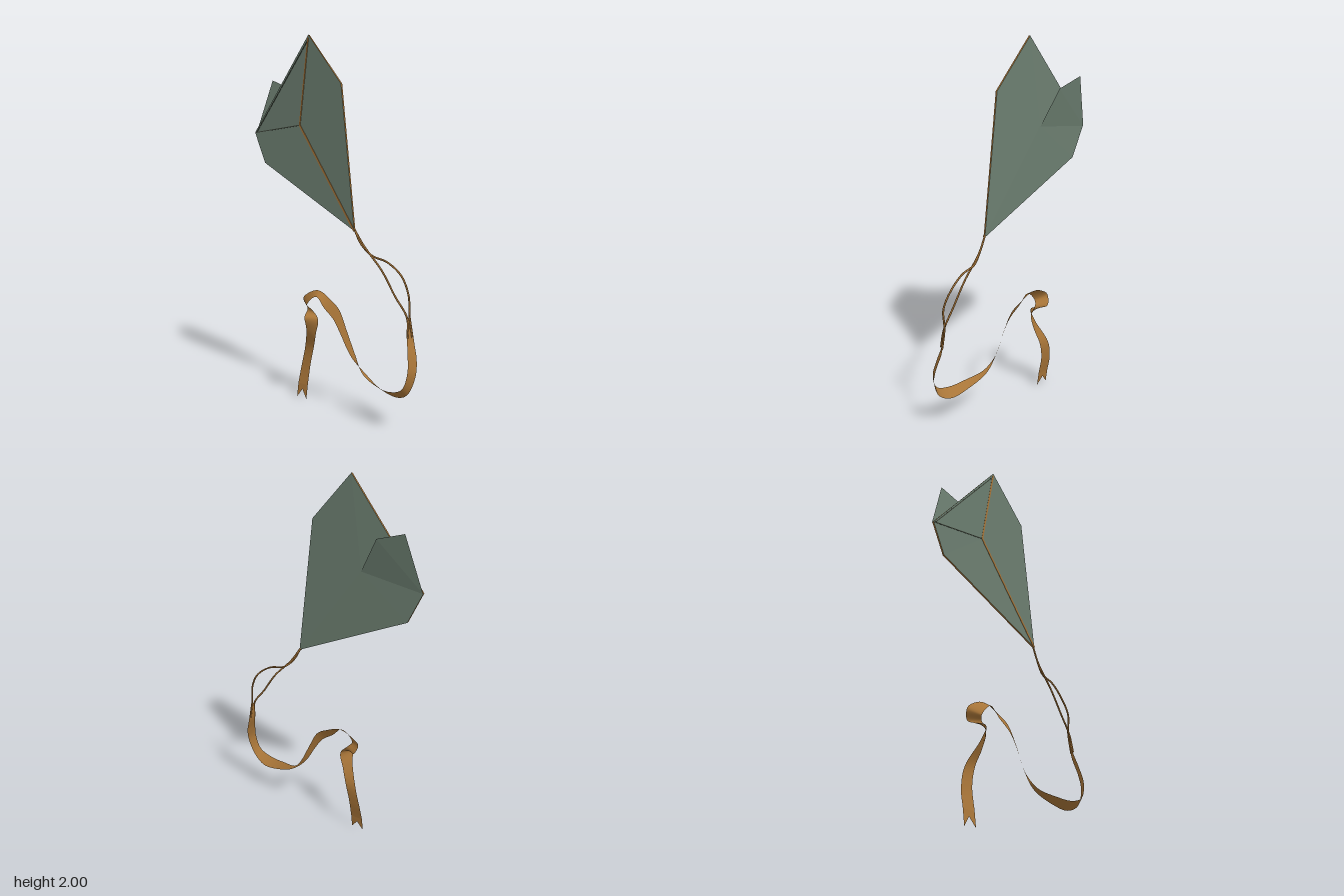
import * as THREE from 'three';

const sailGreen = new THREE.MeshStandardMaterial({ color: 0x6c7e70, side: THREE.DoubleSide, flatShading: true });
const ribbonBrown = new THREE.MeshStandardMaterial({ color: 0xa87538, side: THREE.DoubleSide });
const seamDark = new THREE.MeshStandardMaterial({ color: 0x3c4238, side: THREE.DoubleSide });

const V = (a) => new THREE.Vector3(...a);

function mesh(name, geometry, material) {
  const m = new THREE.Mesh(geometry, material);
  m.name = name;
  return m;
}

// Unindexed geometry from a list of [x, y, z] triangle corners
function fromCorners(corners) {
  const g = new THREE.BufferGeometry();
  g.setAttribute('position', new THREE.Float32BufferAttribute(corners.flat(), 3));
  g.computeVertexNormals();
  return g;
}

// Thin flat bar between two points
function bar(name, p, q, width, depth, material) {
  const a = V(p), b = V(q), d = b.clone().sub(a);
  const m = mesh(name, new THREE.BoxGeometry(width, d.length(), depth), material);
  m.position.copy(a).add(b).multiplyScalar(0.5);
  m.quaternion.setFromUnitVectors(new THREE.Vector3(0, 1, 0), d.normalize());
  return m;
}

// Band lofted between two edge curves
function band(edgeA, edgeB, steps) {
  const a = new THREE.CatmullRomCurve3(edgeA.map(V)), b = new THREE.CatmullRomCurve3(edgeB.map(V));
  const pos = [], index = [];
  for (let i = 0; i <= steps; i++) {
    pos.push(...a.getPoint(i / steps).toArray(), ...b.getPoint(i / steps).toArray());
    if (i < steps) index.push(2 * i, 2 * i + 1, 2 * i + 2, 2 * i + 1, 2 * i + 3, 2 * i + 2);
  }
  const g = new THREE.BufferGeometry();
  g.setAttribute('position', new THREE.Float32BufferAttribute(pos, 3));
  g.setIndex(index);
  g.computeVertexNormals();
  return g;
}

export function createModel() {
  const kite = new THREE.Group();
  kite.name = 'kite';

  // Sail: outline counter-clockwise, fanned around the spar crossing
  const top = [-0.14, 2.0], left = [-0.545, 1.49], bottom = [0.17, 1.01], hub = [-0.21, 1.537];
  const outline = [top, left, [-0.47, 1.325], bottom, [0.08, 1.75]];
  const front = 0.031, back = 0.021, dip = 0.006;
  const faces = [], rim = [];
  outline.forEach((p, i) => {
    const q = outline[(i + 1) % outline.length];
    faces.push([...hub, front - dip], [...p, front], [...q, front]);
    faces.push([...hub, back - dip], [...q, back], [...p, back]);
    rim.push([...p, front], [...p, back], [...q, front], [...p, back], [...q, back], [...q, front]);
  });
  kite.add(mesh('sail', fromCorners(faces), sailGreen));
  kite.add(mesh('sailRim', fromCorners(rim), ribbonBrown));

  // Loose flap folded behind the upper panel
  const flapLeft = [-0.545, 1.49, 0.018], flapTip = [-0.46, 1.775, -0.027];
  const flapCorner = [-0.31, 1.725, -0.024], flapHub = [-0.21, 1.535, 0.012];
  kite.add(mesh('flap', fromCorners([
    flapLeft, flapTip, flapCorner, flapLeft, flapCorner, flapHub,
  ]), sailGreen));

  // Spine showing through the sail, side seam and hem
  const hubFront = [...hub, front - dip];
  kite.add(bar('upperSpine', [-0.142, 1.985, front], hubFront, 0.009, 0.004, ribbonBrown));
  kite.add(bar('lowerSpine', hubFront, [...bottom, front], 0.011, 0.004, ribbonBrown));
  kite.add(bar('sideSeam', [-0.54, 1.49, front], hubFront, 0.005, 0.003, seamDark));
  kite.add(bar('hemSeam', [-0.53, 1.495, front], [-0.143, 1.975, front], 0.005, 0.003, seamDark));

  // Two thin strands tying the sail to the ribbon
  const strands = [
    [[0.165, 1.02, 0.025], [0.22, 0.935, 0.012], [0.325, 0.82, 0], [0.405, 0.70, -0.005], [0.475, 0.60, -0.012], [0.488, 0.5, 0]],
    [[0.165, 1.02, 0.025], [0.205, 0.945, 0.018], [0.26, 0.89, 0], [0.35, 0.865, -0.012], [0.43, 0.805, -0.022],
      [0.478, 0.715, -0.018], [0.481, 0.61, -0.025], [0.5, 0.5, -0.025]],
  ];
  strands.forEach((pts, i) => kite.add(mesh('strand' + (i + 1),
    new THREE.TubeGeometry(new THREE.CatmullRomCurve3(pts.map(V)), 40, 0.005, 6), ribbonBrown)));

  // Ribbon tail, described by its two edges
  const outer = [
    [0.485, 0.60, -0.03], [0.508, 0.48, -0.03], [0.536, 0.39, -0.015], [0.54, 0.31, 0], [0.50, 0.21, 0.01],
    [0.43, 0.175, 0], [0.325, 0.19, -0.005], [0.205, 0.247, -0.02], [0.125, 0.32, -0.005], [0.055, 0.44, 0.005],
    [0.01, 0.505, 0.005], [-0.06, 0.56, 0.005], [-0.11, 0.61, 0.005], [-0.14, 0.60, 0.01], [-0.18, 0.55, 0.01],
    [-0.165, 0.53, -0.01], [-0.125, 0.48, -0.02], [-0.145, 0.39, -0.025], [-0.175, 0.30, -0.04],
    [-0.195, 0.20, -0.035], [-0.197, 0.08, -0.012],
  ];
  const inner = [
    [0.475, 0.60, -0.015], [0.485, 0.50, 0], [0.505, 0.42, 0.02], [0.518, 0.33, 0.04], [0.49, 0.245, 0.048],
    [0.41, 0.215, 0.048], [0.31, 0.222, 0.035], [0.205, 0.253, 0.005], [0.14, 0.33, -0.02], [0.08, 0.455, -0.02],
    [0.025, 0.555, -0.025], [-0.04, 0.60, -0.03], [-0.13, 0.637, -0.035], [-0.20, 0.615, -0.035], [-0.243, 0.575, -0.03],
    [-0.225, 0.52, -0.045], [-0.175, 0.49, 0.035], [-0.185, 0.42, 0.01], [-0.24, 0.29, -0.04],
    [-0.263, 0.18, -0.035], [-0.268, 0.08, -0.012],
  ];
  kite.add(mesh('ribbonTail', band(outer, inner, 160), ribbonBrown));

  // Swallow-tail end of the ribbon
  const L = [-0.268, 0.08, -0.012], R = [-0.197, 0.08, -0.012], notch = [-0.234, 0.05, -0.008];
  const tipL = [-0.268, 0, 0], tipR = [-0.197, 0, 0];
  kite.add(mesh('ribbonEnd', fromCorners([L, tipL, notch, L, notch, R, R, notch, tipR]), ribbonBrown));

  return kite;
}
